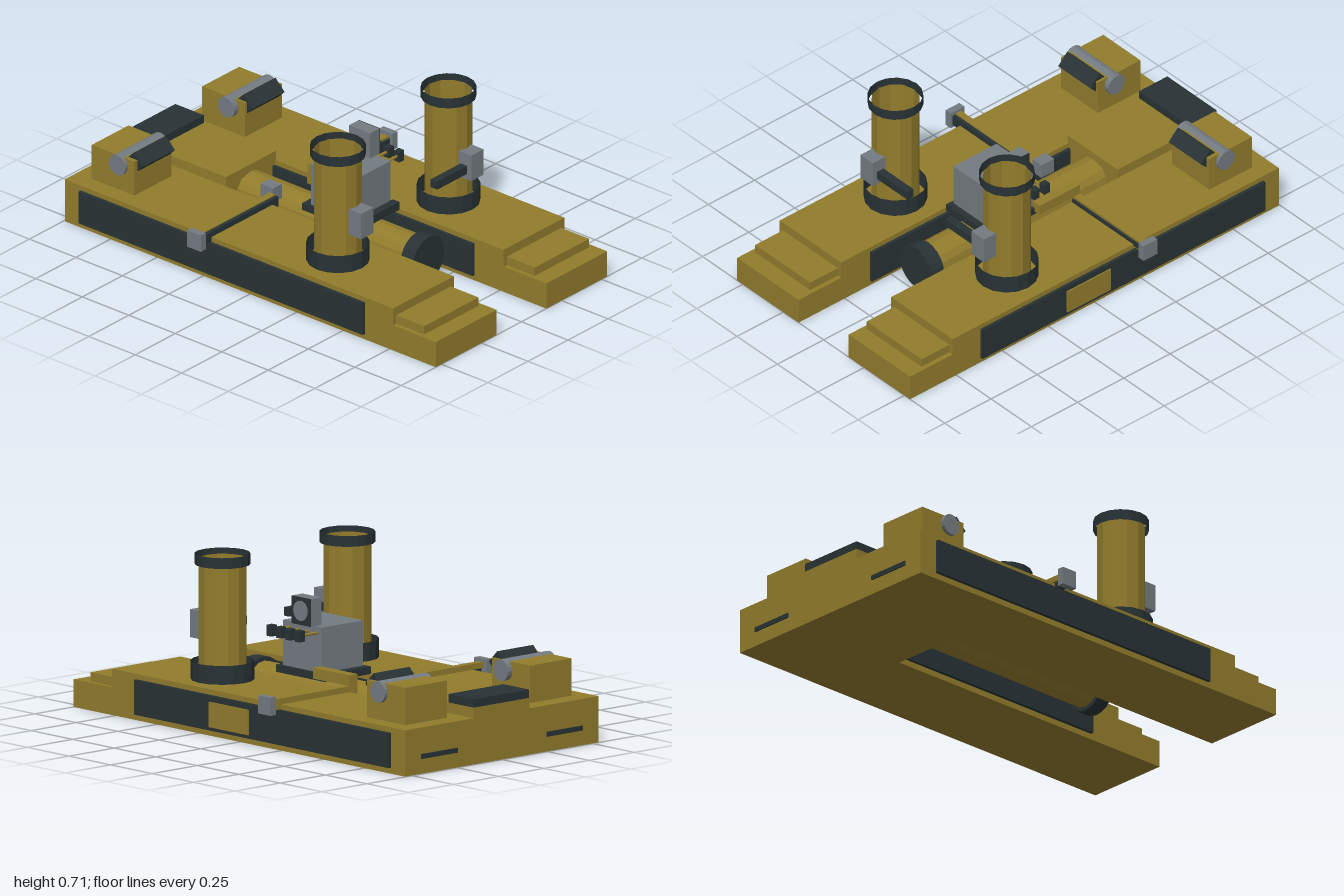
import * as THREE from 'three';

export function createModel() {
  const model = new THREE.Group();
  const mat = (name, color) => {
    const m = new THREE.MeshStandardMaterial({ color, flatShading: true, side: THREE.DoubleSide });
    m.name = name;
    return m;
  };
  const gold = mat('ochre', 0x927c2c);
  const dark = mat('charcoal', 0x283235);
  const grey = mat('steel grey', 0x747b81);

  const add = (name, geo, material) => {
    const mesh = new THREE.Mesh(geo, material);
    mesh.name = name;
    model.add(mesh);
    return mesh;
  };
  // Box given by its limits on each axis
  const box = (name, material, x0, x1, y0, y1, z0, z1) => {
    const mesh = add(name, new THREE.BoxGeometry(Math.abs(x1 - x0), y1 - y0, z1 - z0), material);
    mesh.position.set((x0 + x1) / 2, (y0 + y1) / 2, (z0 + z1) / 2);
    return mesh;
  };
  // Cylinder along a chosen axis
  const cyl = (name, material, r, len, axis, x, y, z, sides = 12, open = false) => {
    const geo = new THREE.CylinderGeometry(r, r, len, sides, 1, open);
    if (axis === 'x') geo.rotateZ(Math.PI / 2);
    if (axis === 'z') geo.rotateX(Math.PI / 2);
    const mesh = add(name, geo, material);
    mesh.position.set(x, y, z);
    return mesh;
  };

  for (const s of [-1, 1]) {
    // Side hull with stepped nose
    box('sideHull', gold, s * 0.155, s * 0.535, 0, 0.192, -0.995, 0.77);
    box('noseLowerStep', gold, s * 0.155, s * 0.535, 0, 0.115, 0.77, 1);
    box('noseUpperStep', gold, s * 0.175, s * 0.515, 0.115, 0.153, 0.77, 0.92);

    // Recessed-looking side panels
    box('outerPanel', dark, s * 0.535, s * 0.549, 0.025, 0.17, -0.91, 0.62);
    box('innerPanel', dark, s * 0.141, s * 0.155, 0.025, 0.17, -0.46, 0.615);

    // Open funnel with collars
    cyl('funnel', gold, 0.1, 0.5, 'y', s * 0.345, 0.442, 0.31, 12, true);
    cyl('funnelBase', dark, 0.13, 0.078, 'y', s * 0.345, 0.231, 0.31, 16, true);
    cyl('funnelRim', dark, 0.114, 0.045, 'y', s * 0.345, 0.692, 0.31, 16, true);

    // Front bracket and its end block
    box('frontArm', dark, s * 0.118, s * 0.31, 0.373, 0.409, 0.41, 0.445);
    box('frontArmBlock', grey, s * 0.305, s * 0.382, 0.347, 0.463, 0.397, 0.467);

    // Rear turret: housing, roller and tilted head
    box('turretHousing', gold, s * 0.23, s * 0.46, 0.192, 0.347, -0.915, -0.685);
    cyl('turretRoller', grey, 0.045, 0.27, 'x', s * 0.34, 0.31, -0.765, 16);
    const head = add('turretHead', new THREE.BoxGeometry(0.2, 0.07, 0.1), dark);
    head.position.set(s * 0.342, 0.315, -0.715);
    head.rotation.x = -Math.PI / 4;

    // Rear slot and outrigger tip
    box('rearSlot', dark, s * 0.247, s * 0.445, 0.062, 0.082, -1, -0.994);
    box('outriggerTip', grey, s * 0.582, s * 0.613, 0.157, 0.232, -0.27, -0.196);
  }
  box('sideHatch', gold, 0.549, 0.555, 0.04, 0.145, -0.07, 0.165);

  // Rear bridge between the hulls
  box('rearBridge', gold, -0.155, 0.155, 0, 0.192, -0.995, -0.46);
  box('rearDeck', gold, -0.155, 0.155, 0.192, 0.235, -0.995, -0.455);
  box('rearHatch', dark, -0.153, 0.153, 0.235, 0.27, -0.993, -0.84);

  // Central barrel
  cyl('barrel', gold, 0.083, 0.9, 'z', 0, 0.12, -0.01, 16);
  cyl('barrelCap', dark, 0.1, 0.065, 'z', 0, 0.12, 0.468, 20);

  // Control cabin
  box('cabinBase', dark, -0.128, 0.128, 0.204, 0.235, -0.07, 0.225);
  box('cabin', grey, -0.114, 0.114, 0.235, 0.423, -0.035, 0.197);
  box('sensorBox', grey, 0.077, 0.134, 0.423, 0.538, 0.007, 0.12);
  box('sensorFace', dark, 0.134, 0.138, 0.423, 0.538, 0.007, 0.12);
  cyl('sensorLens', grey, 0.042, 0.004, 'x', 0.14, 0.482, 0.064, 16);
  for (let i = 0; i < 4; i++) {
    const z = -0.01 + i * 0.056;
    cyl('probeRod', gold, 0.006, 0.09, 'x', 0.155, 0.398, z, 8);
    box('probeTip', dark, 0.198, 0.228, 0.375, 0.421, z - 0.015, z + 0.015);
  }

  // Right outrigger
  box('rightOutrigger', dark, -0.585, -0.118, 0.17, 0.215, -0.24, -0.206);
  box('rightOutriggerStrip', gold, -0.585, -0.118, 0.195, 0.219, -0.252, -0.222);
  box('rightOutriggerBlock', grey, -0.118, -0.064, 0.178, 0.242, -0.303, -0.234);

  // Left outrigger with its elbow
  box('leftOutrigger', gold, 0.112, 0.585, 0.172, 0.217, -0.25, -0.216);
  box('leftOutriggerStrip', dark, 0.155, 0.585, 0.185, 0.207, -0.216, -0.208);
  box('leftElbow', gold, 0.112, 0.158, 0.217, 0.262, -0.248, -0.03);

  return model;
}
